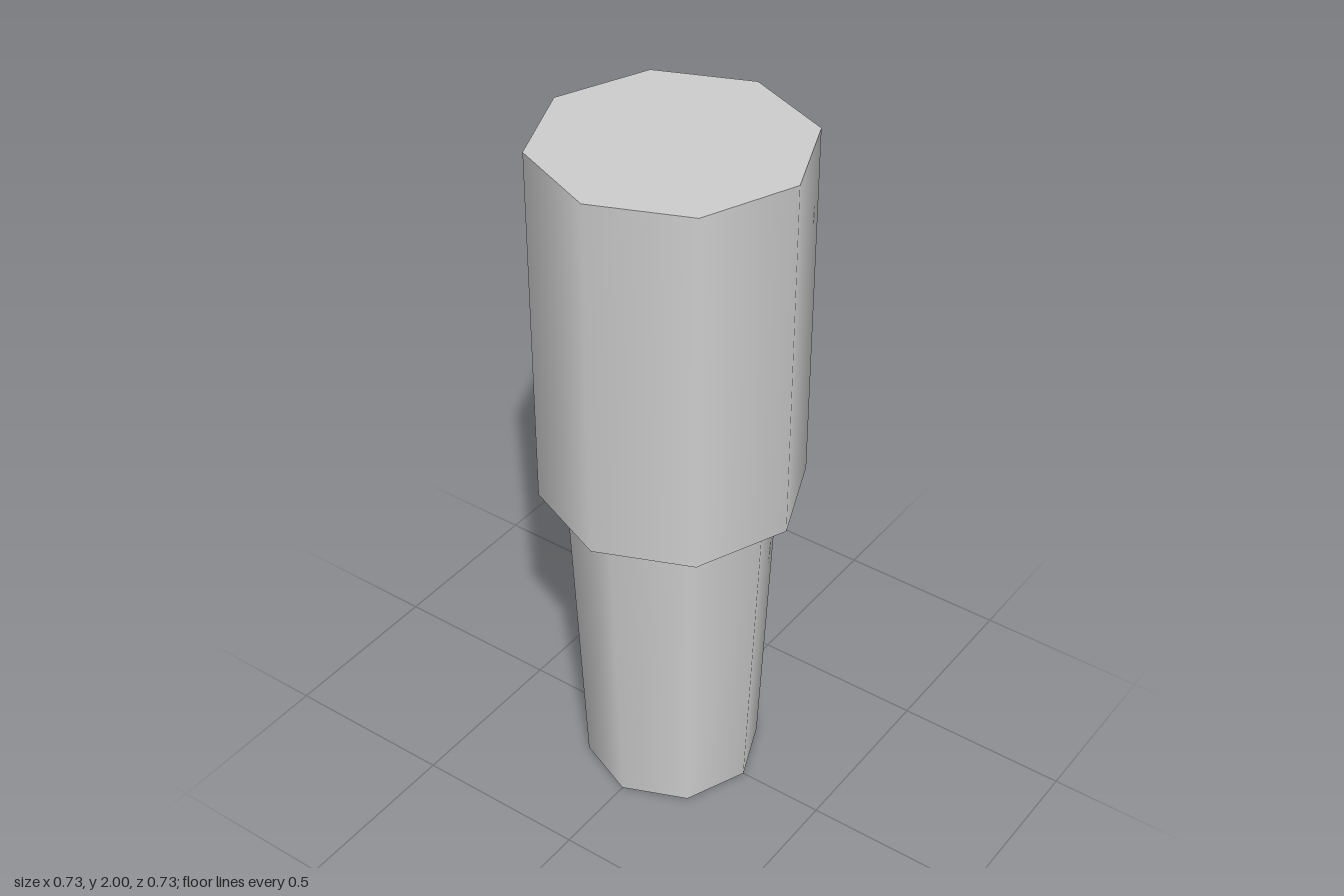
import * as THREE from 'three';

export function createModel() {
  const model = new THREE.Group();
  const grey = new THREE.MeshStandardMaterial({ color: 0xcccccc });
  grey.name = 'light grey';

  // Smooth-sided octagonal section with corners on the x and z axes
  function section(name, topRadius, bottomRadius, bottom, top) {
    const geometry = new THREE.CylinderGeometry(topRadius, bottomRadius, top - bottom, 8);
    const mesh = new THREE.Mesh(geometry, grey);
    mesh.name = name;
    mesh.position.y = (bottom + top) / 2;
    model.add(mesh);
  }

  section('upperSleeve', 0.364, 0.364, 0.96, 2); // wide straight upper half
  section('taperedShaft', 0.29, 0.25, 0, 0.96); // narrower tapering lower half

  return model;
}
